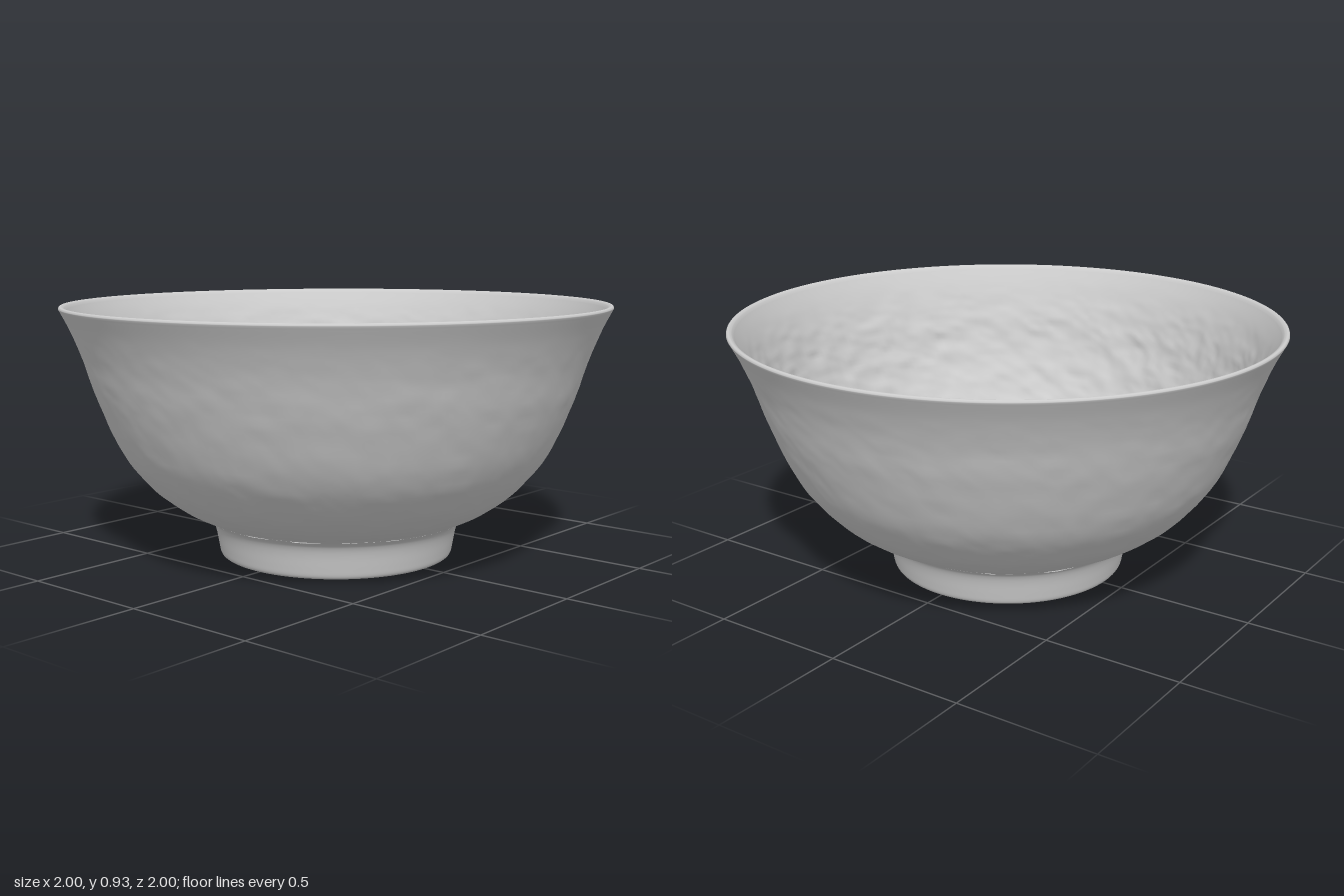
import * as THREE from 'three';
import { mergeVertices } from 'three/addons/utils/BufferGeometryUtils.js';

// Seeded value noise on a 3D lattice, range -1..1
function hash(x, y, z) {
  let h = Math.imul(x, 374761393) ^ Math.imul(y, 668265263) ^ Math.imul(z, 2147483647 - 5915587);
  h = Math.imul(h ^ (h >>> 13), 1274126177);
  return ((h ^ (h >>> 16)) >>> 0) / 2147483648 - 1;
}
function noise(x, y, z) {
  const cell = [x, y, z].map(Math.floor);
  const f = [x, y, z].map((v, i) => { const t = v - cell[i]; return t * t * (3 - 2 * t); });
  let sum = 0;
  for (let c = 0; c < 8; c++) {
    const o = [c & 1, (c >> 1) & 1, c >> 2];
    const w = o.reduce((p, bit, i) => p * (bit ? f[i] : 1 - f[i]), 1);
    sum += w * hash(cell[0] + o[0], cell[1] + o[1], cell[2] + o[2]);
  }
  return sum;
}

// Smooth curve through a few [radius, height] points
function smooth(points, count) {
  return new THREE.SplineCurve(points.map(([r, y]) => new THREE.Vector2(r, y))).getPoints(count)
    .map((p) => new THREE.Vector2(Math.max(p.x, 0), p.y));
}

// Lathe with welded seam; each vertex is pushed along its normal by offset(x, y, z)
function turned(name, profile, offset, material) {
  let geo = new THREE.LatheGeometry(profile, 256);
  geo.deleteAttribute('uv');
  geo.deleteAttribute('normal');
  geo = mergeVertices(geo, 1e-5);
  geo.computeVertexNormals();
  if (offset) {
    const pos = geo.attributes.position, nor = geo.attributes.normal;
    const p = new THREE.Vector3(), n = new THREE.Vector3();
    for (let i = 0; i < pos.count; i++) {
      p.fromBufferAttribute(pos, i);
      n.fromBufferAttribute(nor, i);
      p.addScaledVector(n, offset(p, n));
      // Slightly uneven rim height
      p.y += 0.004 * Math.max(0, p.y - 0.5) * 2 * (p.z - 0.4 * p.x);
      pos.setXYZ(i, p.x, p.y, p.z);
    }
    geo.computeVertexNormals();
  }
  const mesh = new THREE.Mesh(geo, material);
  mesh.name = name;
  return mesh;
}

export function createModel() {
  const group = new THREE.Group();
  group.name = 'bowl';
  const material = new THREE.MeshStandardMaterial({ color: 0xcccccc });

  // Foot ring with a shallow dished recess underneath
  const foot = [
    new THREE.Vector2(0, 0.075),
    ...smooth([[0.28, 0.072], [0.31, 0.062], [0.36, 0.025], [0.39, 0.004], [0.405, 0],
      [0.422, 0.002], [0.432, 0.012], [0.438, 0.04], [0.446, 0.085], [0.455, 0.115],
      [0.468, 0.133], [0.5, 0.153]], 48),
  ];
  group.add(turned('foot', foot, null, material));

  // Body: flared outer wall, thin rounded rim, then the inner wall down to the floor
  const body = [
    ...smooth([[0.49, 0.147], [0.5, 0.153], [0.59, 0.2], [0.69, 0.28], [0.79, 0.41], [0.87, 0.595],
      [0.92, 0.745], [0.96, 0.845], [0.995, 0.915]], 60),
    ...smooth([[0.999, 0.922], [0.996, 0.929], [0.988, 0.931], [0.978, 0.925]], 8),
    ...smooth([[0.973, 0.918], [0.935, 0.85], [0.89, 0.745], [0.835, 0.595], [0.75, 0.425],
      [0.65, 0.305], [0.52, 0.22], [0.36, 0.175], [0.18, 0.158], [0, 0.155]], 120),
  ];
  // Rippled glaze: strong inside, faint outside, none at the rim
  const glaze = (p, n) => {
    const radius = Math.hypot(p.x, p.z);
    const inside = n.x * p.x + n.z * p.z < 0 || (n.y > 0.5 && radius < 0.7);
    const fade = THREE.MathUtils.smoothstep(0.91 - p.y, 0, 0.25) * (inside ? 1 : 0.25);
    const wall = THREE.MathUtils.smoothstep(radius, 0.4, 0.75);
    const ripple = noise(p.x * 14, p.y * 22, p.z * 14) + 0.6 * noise(p.x * 30 + 9, p.y * 40, p.z * 30 + 5);
    return ripple * fade * (0.0025 + 0.0035 * wall);
  };
  group.add(turned('body', body, glaze, material));

  return group;
}
